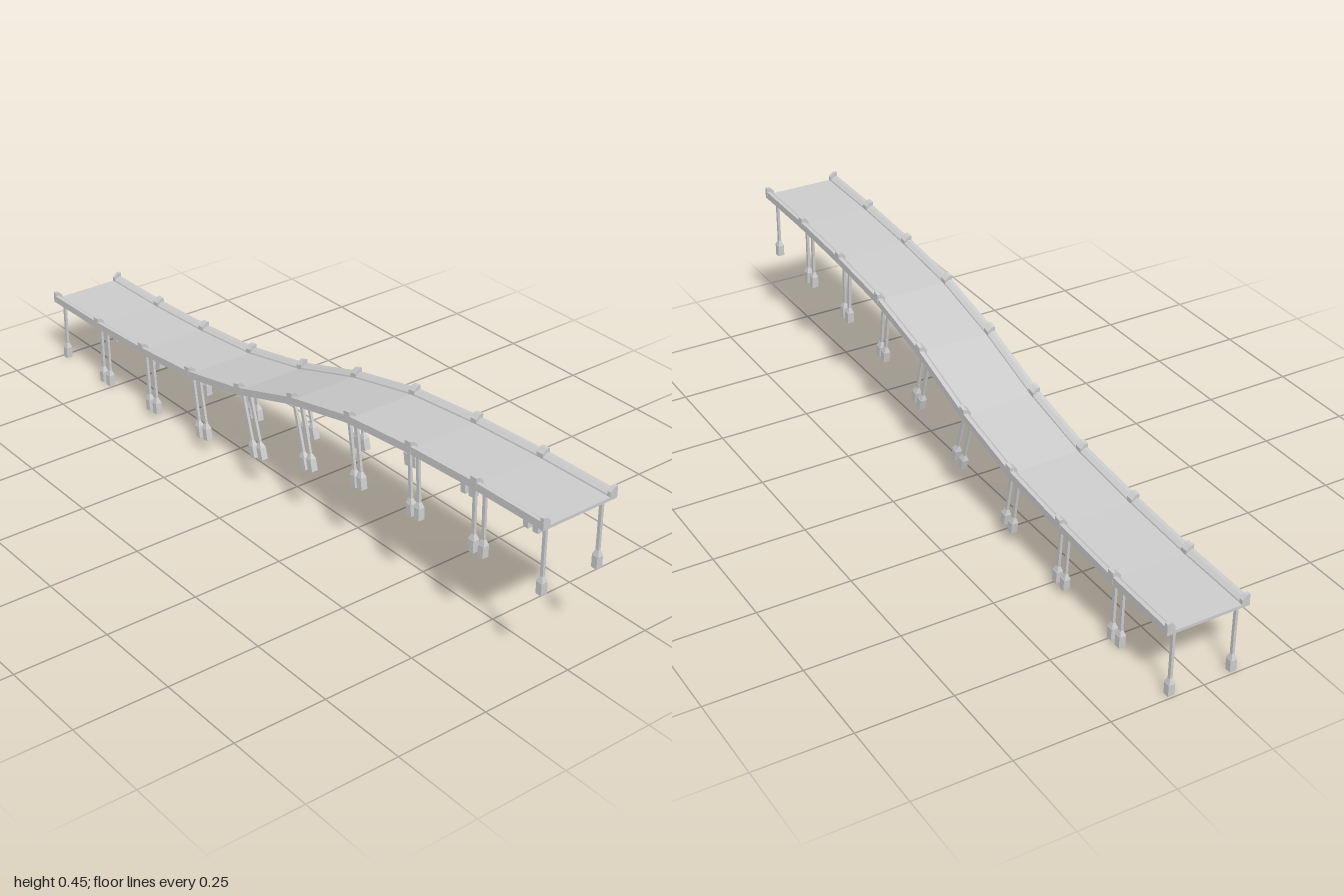
import * as THREE from 'three';

const material = new THREE.MeshStandardMaterial({ color: 0xcccccc, flatShading: true });
const SPANS = 9, STEP = 2 / SPANS;

// underside height of the deck at each span joint
const jointY = [0.182, 0.186, 0.198, 0.219, 0.265, 0.335, 0.383, 0.404, 0.415, 0.418];

function deckY(x) {
  const t = THREE.MathUtils.clamp((x + 1) / STEP, 0, SPANS);
  const i = Math.min(Math.floor(t), SPANS - 1);
  return THREE.MathUtils.lerp(jointY[i], jointY[i + 1], t - i);
}

// extrude a (z, y) profile from x0 to x1 and let it follow the deck slope
function sweep(points, x0, x1, steps, name) {
  const shape = new THREE.Shape(points.map(([z, y]) => new THREE.Vector2(-z, y)));
  const geometry = new THREE.ExtrudeGeometry(shape, { depth: x1 - x0, steps, bevelEnabled: false });
  geometry.rotateY(Math.PI / 2).translate(x0, 0, 0);
  const p = geometry.attributes.position;
  for (let i = 0; i < p.count; i++) p.setY(i, p.getY(i) + deckY(p.getX(i)));
  geometry.computeVertexNormals();
  const mesh = new THREE.Mesh(geometry, material);
  mesh.name = name;
  return mesh;
}

// square tapered bar; widths are full sizes along x and z
function bar(topX, topZ, ratio, yTop, yBottom, name) {
  const h = yTop - yBottom;
  const geometry = new THREE.CylinderGeometry(Math.SQRT1_2, Math.SQRT1_2 * ratio, h, 4);
  geometry.rotateY(Math.PI / 4).scale(topX, 1, topZ).translate(0, yBottom + h / 2, 0);
  const mesh = new THREE.Mesh(geometry, material);
  mesh.name = name;
  return mesh;
}

// thin shaft with a shouldered foot, hanging down from its origin
function createLeg() {
  const leg = new THREE.Group();
  leg.name = 'leg';
  leg.add(
    bar(0.009, 0.007, 1, 0.003, -0.137, 'legShaft'),
    bar(0.009, 0.007, 2.3, -0.134, -0.148, 'footShoulder'),
    bar(0.017, 0.018, 1, -0.148, -0.18, 'foot')
  );
  return leg;
}

export function createModel() {
  const group = new THREE.Group();
  group.name = 'bridge';

  // deck slab with a sloped curb on both edges
  const half = [[0.111, 0], [0.111, 0.02], [0.101, 0.02], [0.091, 0.012], [0.09, 0.008]];
  const mirrored = half.map(([z, y]) => [-z, y]).reverse();
  group.add(sweep([...half, ...mirrored], -1, 1, SPANS, 'deck'));

  // bevelled curb posts over every joint
  for (let i = 0; i <= SPANS; i++) {
    const x = -1 + i * STEP;
    const x0 = Math.max(-1, x - 0.01), x1 = Math.min(1, x + 0.01);
    for (const s of [1, -1]) {
      const post = [[0.1115, 0], [0.1115, 0.031], [0.102, 0.031], [0.09, 0.02], [0.09, 0.005]];
      group.add(sweep(post.map(([z, y]) => [s * z, y]), x0, x1, 2, 'curbPost'));
    }
  }

  // legs: foot centres along x with their sideways lean
  const legs = [
    [-0.985, 0.002], [-0.79, 0.004], [-0.757, 0.006], [-0.553, 0.014], [-0.52, 0.016],
    [-0.313, 0.03], [-0.279, 0.034], [-0.067, 0.053], [-0.033, 0.055],
    [0.147, 0.05], [0.174, 0.047], [0.342, 0.029], [0.366, 0.027],
    [0.547, 0.014], [0.575, 0.012], [0.762, 0.005], [0.794, 0.004], [0.982, 0.001],
  ];
  for (const [footX, lean] of legs) {
    for (const s of [1, -1]) {
      const leg = createLeg();
      const x = footX - lean;
      leg.position.set(x, deckY(x), s * 0.085);
      leg.rotation.z = Math.asin(lean / 0.18);
      group.add(leg);
    }
  }
  return group;
}
